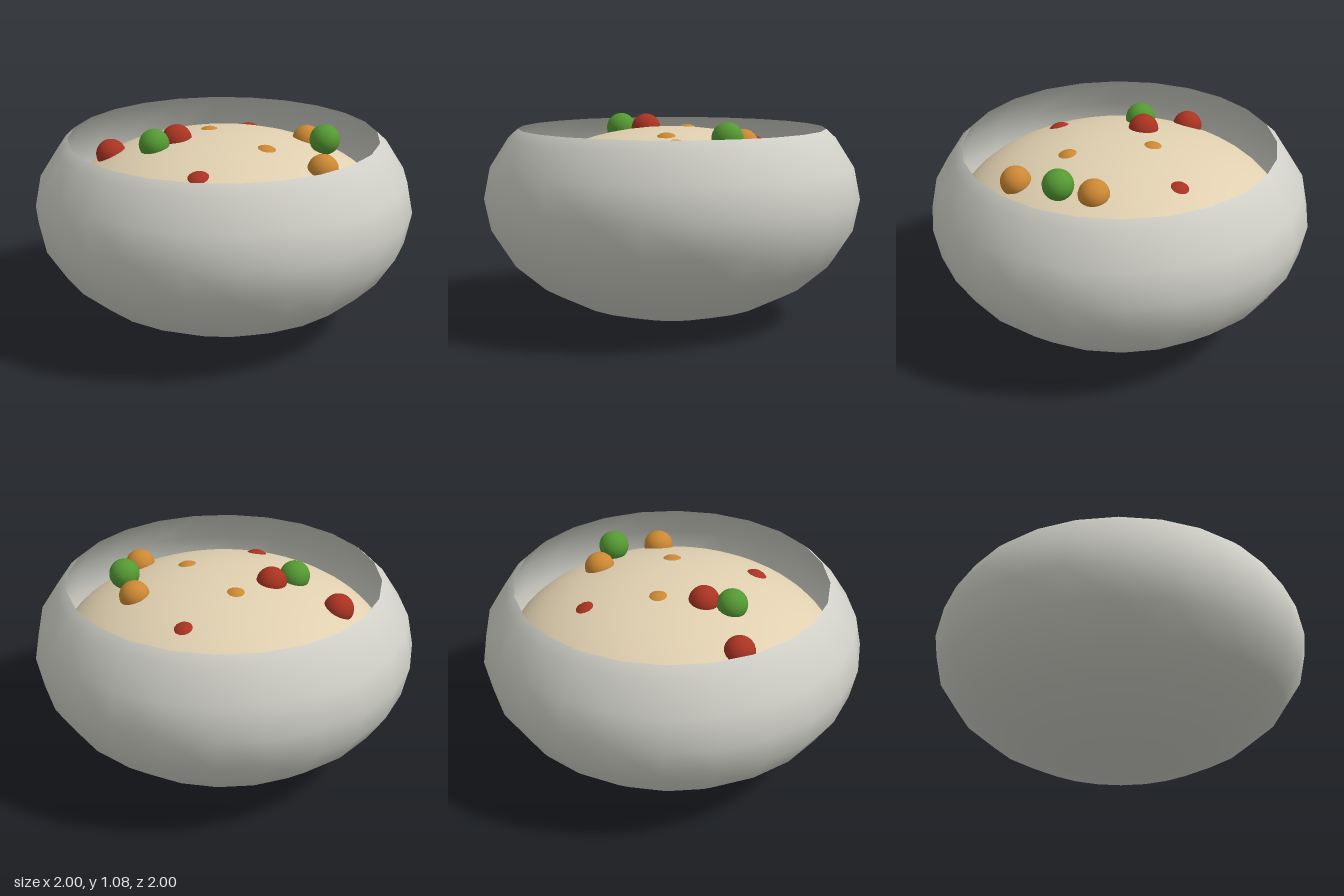
import * as THREE from 'three';

const mat = (name, color, extra = {}) => {
  const m = new THREE.MeshStandardMaterial({ color, ...extra });
  m.name = name;
  return m;
};

export function createModel() {
  const group = new THREE.Group();
  const stoneware = mat('pale stoneware', 0xd0d0c8, { side: THREE.DoubleSide });
  const broth = mat('cream broth', 0xe0d0b0);
  const green = mat('pea green', 0x559933);
  const red = mat('tomato red', 0xaa3322);
  const orange = mat('carrot orange', 0xcc8833);

  const add = (name, geometry, material, x, y, z) => {
    const mesh = new THREE.Mesh(geometry, material);
    mesh.name = name;
    mesh.position.set(x, y, z);
    group.add(mesh);
    return mesh;
  };

  // Bowl: squashed sphere in 15 degree rings, cut flat at the rim
  const centre = 0.65, profile = [];
  for (let i = 0; i <= 8; i++) {
    const a = (i * Math.PI) / 12;
    profile.push(new THREE.Vector2(Math.sin(a), centre - centre * Math.cos(a)));
  }
  profile.push(new THREE.Vector2(0.817, 1.02));
  add('bowl', new THREE.LatheGeometry(profile, 24), stoneware, 0, 0, 0);

  // Soup: domed surface filling the bowl
  const soup = new THREE.SphereGeometry(1, 48, 32);
  soup.scale(0.9, 0.47, 0.9);
  add('soup', soup, broth, 0, 0.552, 0);

  // Floating pieces, sunk to different depths
  const ball = new THREE.SphereGeometry(0.08, 24, 16);
  const pieces = [
    ['pea', green, -0.355, 1.0, -0.12],
    ['pea', green, 0.43, 1.0, 0.31],
    ['tomato', red, -0.21, 1.0, -0.13],
    ['tomato', red, -0.465, 0.9, -0.385],
    ['tomato', red, 0.36, 0.888, -0.28],
    ['tomato', red, -0.36, 0.886, 0.315],
    ['carrot', orange, 0.45, 0.954, 0.135],
    ['carrot', orange, 0.245, 0.925, 0.53],
    ['carrot', orange, 0.02, 0.947, -0.165],
    ['carrot', orange, 0.08, 0.934, 0.26],
  ];
  for (const [name, material, x, y, z] of pieces) add(name, ball, material, x, y, z);

  return group;
}
